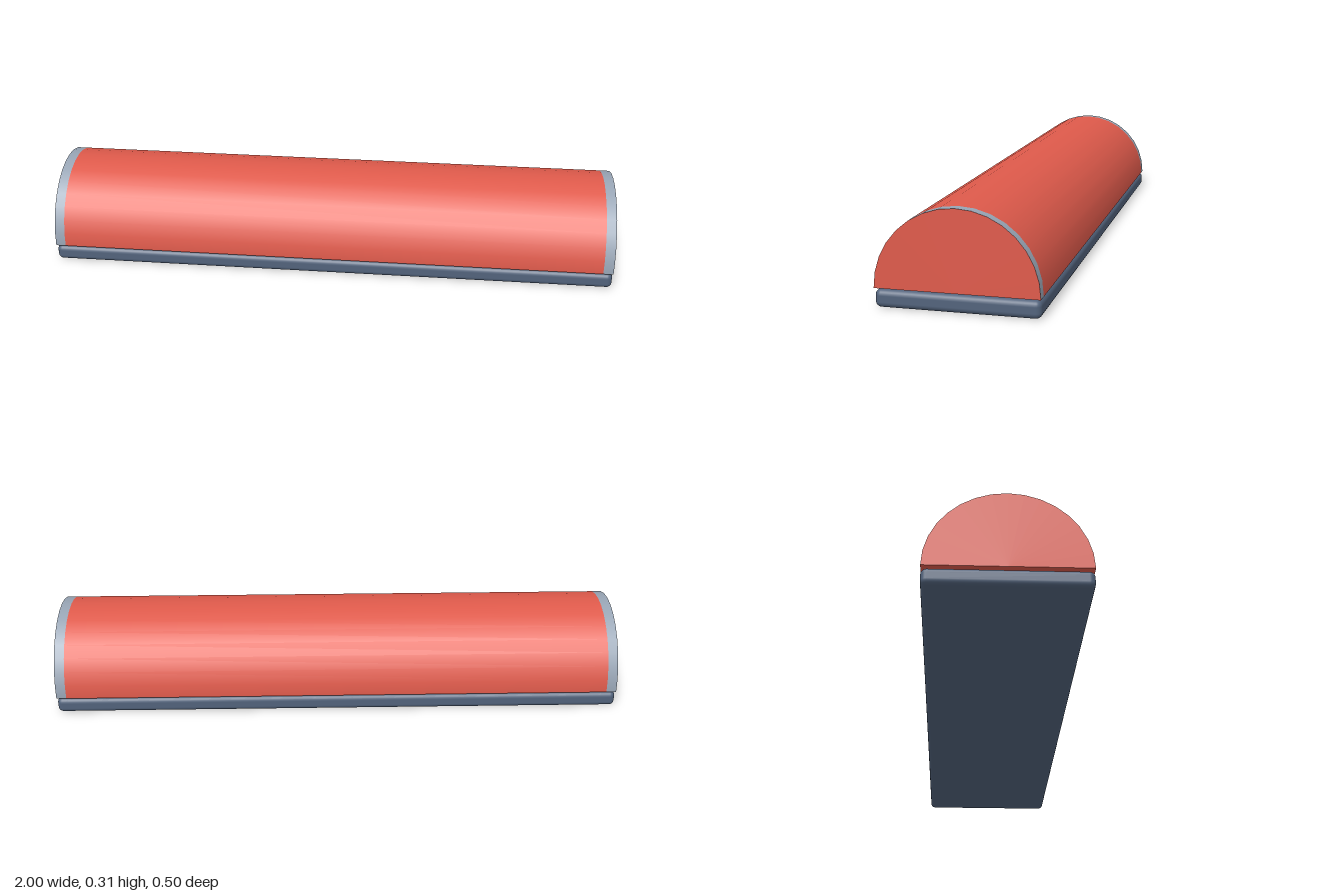
import * as THREE from 'three';
import { RoundedBoxGeometry } from 'three/addons/geometries/RoundedBoxGeometry.js';

const R = 0.25, FLOOR = 0.06, BAND = 0.035;

const material = (name, color) => {
  const m = new THREE.MeshStandardMaterial({ color });
  m.name = name;
  return m;
};

export function createModel() {
  const red = material('red lens', 0xdf5a4b);
  const slate = material('slate base', 0x52637c);
  const grey = material('grey trim', 0x98a5b5);
  const model = new THREE.Group();
  model.name = 'lightBar';

  const add = (name, geometry, mat, x, y, z = 0) => {
    const mesh = new THREE.Mesh(geometry, mat);
    mesh.name = name;
    mesh.position.set(x, y, z);
    model.add(mesh);
  };

  // Upper half of a tube lying along x
  const halfTube = (length) =>
    new THREE.CylinderGeometry(R, R, length, 16, 1, true, 0, Math.PI).rotateZ(Math.PI / 2);

  // Rounded base slab
  add('base', new RoundedBoxGeometry(2, 0.055, 0.5, 3, 0.018), slate, 0, 0.0275);

  // Domed lens and its flat underside
  add('lens', halfTube(2 - 2 * BAND), red, 0, FLOOR);
  add('lensUnderside', new THREE.PlaneGeometry(2, 2 * R).rotateX(Math.PI / 2), red, 0, FLOOR);

  for (const side of [-1, 1]) {
    const end = side > 0 ? 'left' : 'right';
    // Trim band and flat end of the lens
    add(end + 'Band', halfTube(BAND), grey, side * (1 - BAND / 2), FLOOR);
    add(end + 'EndFace', new THREE.CircleGeometry(R, 16, 0, Math.PI).rotateY(side * Math.PI / 2), red, side, FLOOR);
    // Mounting pad between base and lens
    add(end + 'Pad', new RoundedBoxGeometry(0.24, 0.04, 0.164, 2, 0.018), slate, side * 0.45, 0.065);
  }
  return model;
}
